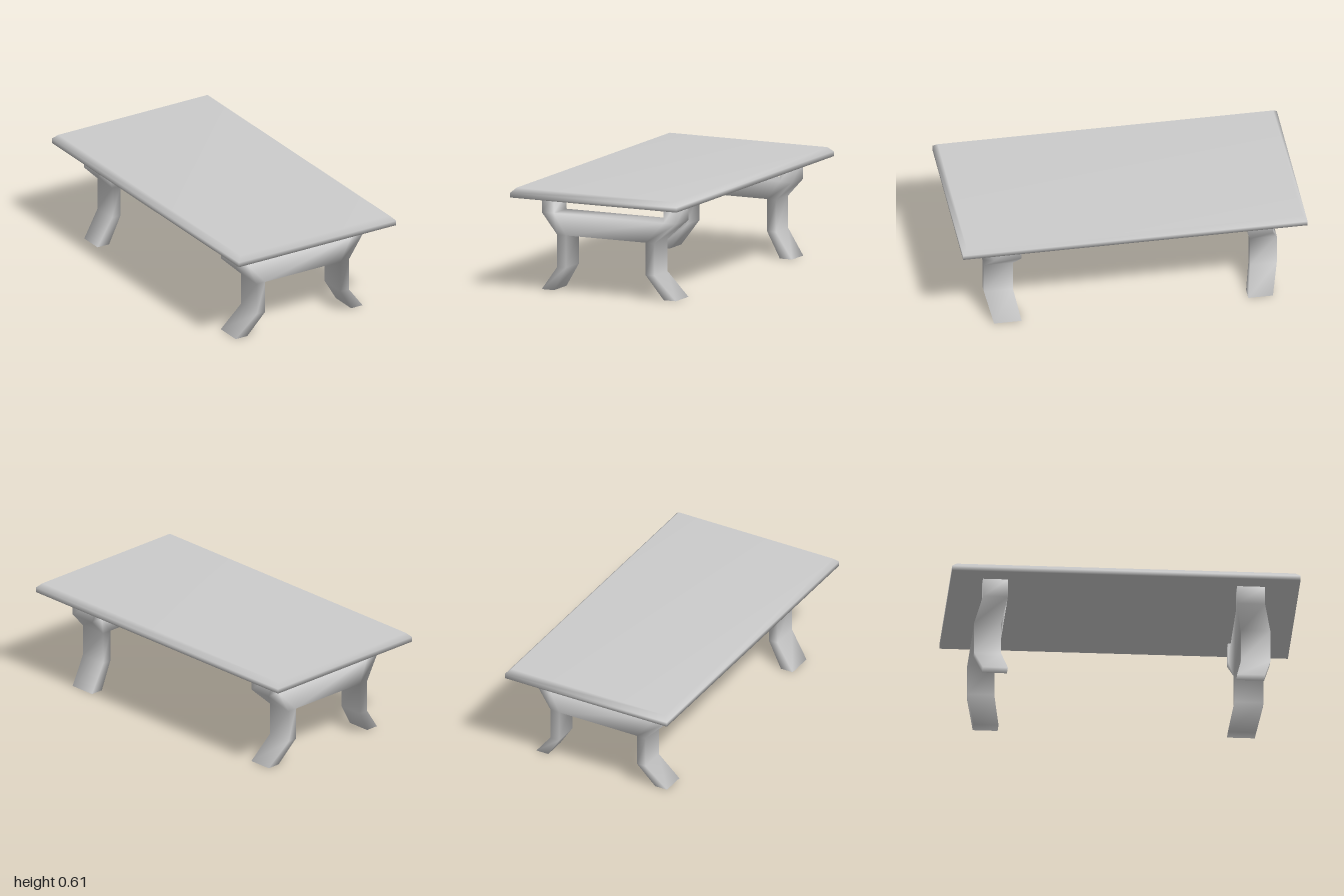
import * as THREE from 'three';
import { mergeVertices } from 'three/addons/utils/BufferGeometryUtils.js';

const material = new THREE.MeshStandardMaterial({ color: 0xcccccc });

// Rectangle at height y, counter-clockwise seen from above
const ring = (y, x0, x1, z0, z1) => [[x0, y, z1], [x1, y, z1], [x1, y, z0], [x0, y, z0]];

// Sides between stacked rings; skip(level, side) leaves a side open
function loft(out, rings, skip = () => false) {
  for (let i = 0; i + 1 < rings.length; i++) {
    for (let s = 0; s < 4; s++) {
      if (skip(i, s)) continue;
      const t = (s + 1) % 4;
      quad(out, rings[i][s], rings[i][t], rings[i + 1][t], rings[i + 1][s]);
    }
  }
}

function quad(out, a, b, c, d) {
  out.push(...a, ...b, ...c, ...a, ...c, ...d);
}

const capTop = (out, r) => quad(out, r[0], r[1], r[2], r[3]);
const capBottom = (out, r) => quad(out, r[3], r[2], r[1], r[0]);

// Welds the corners so that shading runs smoothly over the edges
function smoothMesh(name, positions) {
  const raw = new THREE.BufferGeometry();
  raw.setAttribute('position', new THREE.Float32BufferAttribute(positions, 3));
  const geometry = mergeVertices(raw, 1e-4);
  geometry.computeVertexNormals();
  const mesh = new THREE.Mesh(geometry, material);
  mesh.name = name;
  return mesh;
}

// Flat slab with a bevel around the upper edge
function tabletop() {
  const out = [];
  const rings = [
    ring(0.557, -0.533, 0.533, -1, 1),
    ring(0.585, -0.533, 0.533, -1, 1),
    ring(0.612, -0.506, 0.506, -0.973, 0.973),
  ];
  loft(out, rings);
  capBottom(out, rings[0]);
  capTop(out, rings[2]);
  return smoothMesh('tabletop', out);
}

// Two bowed legs joined by a crossbar; wide and waist are z ranges
function trestle(name, wide, waist) {
  const levels = [
    [0, 0.352, 0.43, wide],
    [0.145, 0.255, 0.312, waist],
    [0.333, 0.255, 0.312, waist],
    [0.448, 0.352, 0.43, wide],
    [0.558, 0.352, 0.43, wide],
  ];
  const out = [];
  for (const side of [-1, 1]) {
    const rings = levels.map(([y, inner, outer, z]) =>
      side > 0 ? ring(y, inner, outer, ...z) : ring(y, -outer, -inner, ...z));
    const innerSide = side > 0 ? 3 : 1;
    loft(out, rings, (i, s) => i === 2 && s === innerSide);
    capBottom(out, rings[0]);
    capTop(out, rings[4]);
  }
  // Crossbar fills the gap between the legs' upper bends
  const bar = [levels[2], levels[3]].map(([y, inner, , z]) => ring(y, -inner, inner, ...z));
  loft(out, bar, (i, s) => s === 1 || s === 3);
  capBottom(out, bar[0]);
  capTop(out, bar[1]);
  return smoothMesh(name, out);
}

export function createModel() {
  const group = new THREE.Group();
  group.name = 'table';
  group.add(
    tabletop(),
    trestle('frontTrestle', [0.643, 0.803], [0.674, 0.842]),
    trestle('backTrestle', [-0.816, -0.673], [-0.858, -0.704]),
  );
  return group;
}
